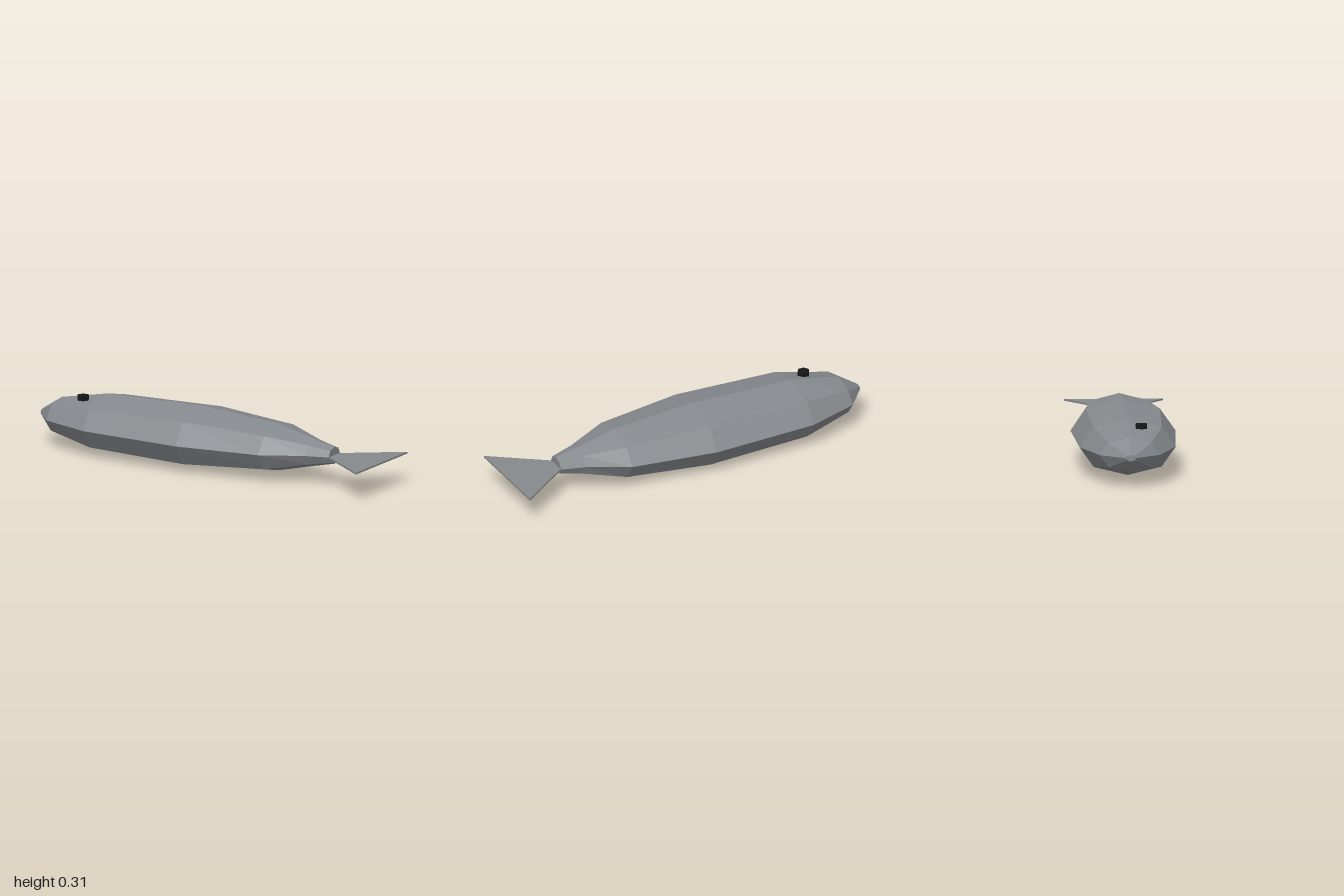
import * as THREE from 'three';

const skin = new THREE.MeshStandardMaterial({ color: 0x85898d, flatShading: true });
skin.name = 'grey skin';
const black = new THREE.MeshStandardMaterial({ color: 0x16161a, flatShading: true });
black.name = 'eye black';

const MID = 0.155; // height of the body axis

// Cross-sections along the body: x, half height, half width
const RINGS = [
  [-1, 0.017, 0.027],
  [-0.89, 0.089, 0.153],
  [-0.62, 0.143, 0.243],
  [-0.06, 0.155, 0.265],
  [0.39, 0.122, 0.2],
  [0.6, 0.071, 0.09],
  [0.72, 0.044, 0.055],
];

function addMesh(group, name, geometry, material) {
  const mesh = new THREE.Mesh(geometry, material);
  mesh.name = name;
  group.add(mesh);
  return mesh;
}

// Eight-sided cylinder along x, each ring moved to its cross-section
function bodyGeometry() {
  const n = RINGS.length - 1;
  const geometry = new THREE.CylinderGeometry(1, 1, n, 8, n);
  geometry.rotateZ(-Math.PI / 2);
  const p = geometry.attributes.position;
  for (let i = 0; i < p.count; i++) {
    const [x, h, w] = RINGS[Math.round(p.getX(i) + n / 2)];
    p.setXYZ(i, x, p.getY(i) * h, p.getZ(i) * w);
  }
  geometry.computeVertexNormals();
  return geometry;
}

// Thin flat triangle spreading out in x and z
function tailGeometry() {
  const shape = new THREE.Shape();
  shape.moveTo(0.65, 0);
  shape.lineTo(1, -0.25);
  shape.lineTo(1, 0.25);
  shape.closePath();
  const geometry = new THREE.ExtrudeGeometry(shape, { depth: 0.009, bevelEnabled: false });
  geometry.rotateX(-Math.PI / 2);
  return geometry;
}

export function createModel() {
  const model = new THREE.Group();
  model.name = 'fish';

  addMesh(model, 'body', bodyGeometry(), skin).position.y = MID;
  addMesh(model, 'tailFin', tailGeometry(), skin).position.y = 0.147;

  // Single six-sided eye on the upper side
  const eye = new THREE.CylinderGeometry(0.033, 0.033, 0.024, 6);
  eye.rotateY(Math.PI / 6);
  addMesh(model, 'eye', eye, black).position.set(-0.725, 0.277, 0.065);

  return model;
}
